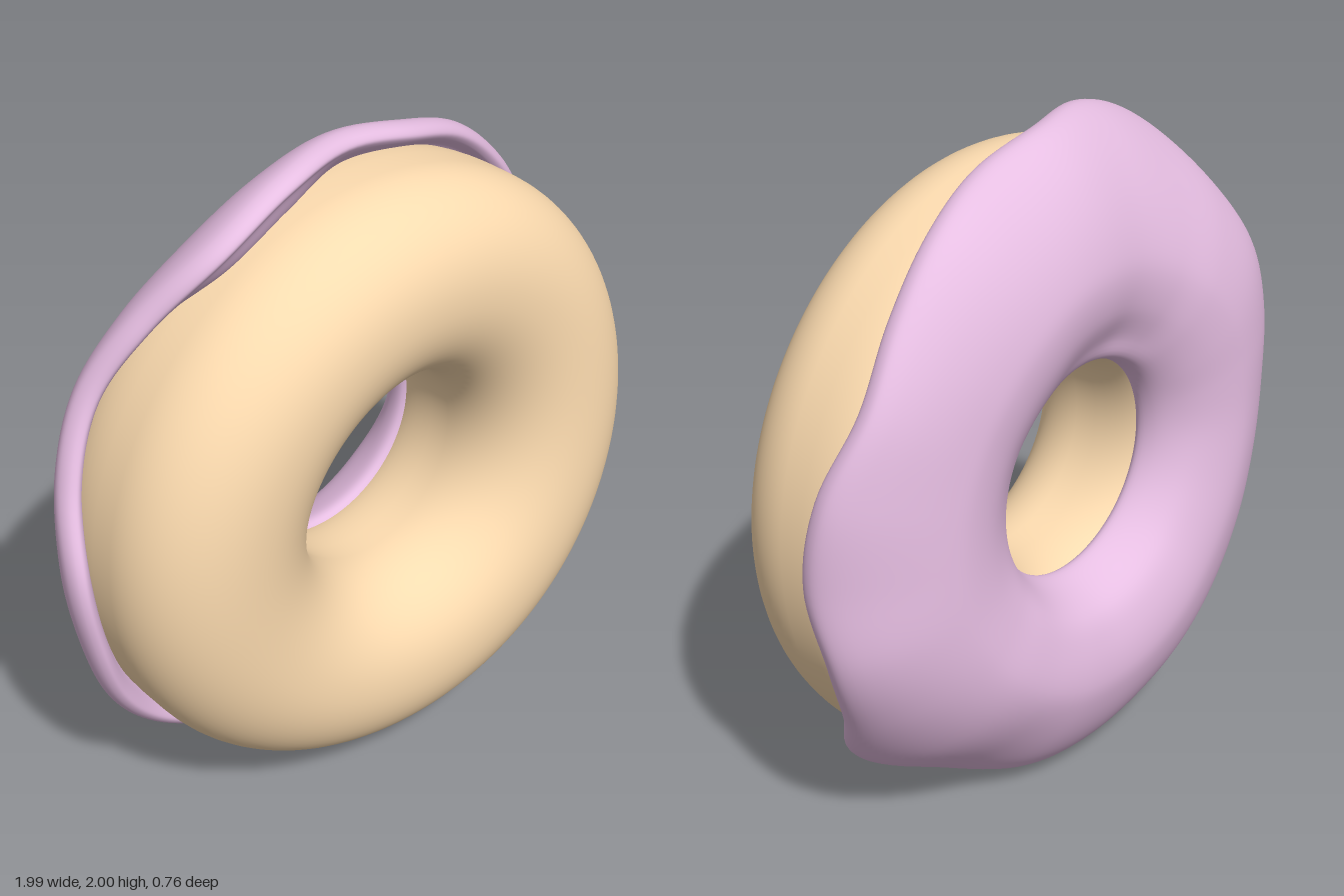
import * as THREE from 'three';

const CENTRE_Y = 0.98;
const TAU = Math.PI * 2;

// Smooth ring surface: section(theta) returns a closed loop of [radius, z] points.
function ringGeometry(section, around) {
  const pos = [], index = [];
  let n = 0;
  for (let i = 0; i < around; i++) {
    const t = (i / around) * TAU;
    const loop = section(t);
    n = loop.length;
    for (const [r, z] of loop) pos.push(r * Math.cos(t), CENTRE_Y + r * Math.sin(t), z);
  }
  for (let i = 0; i < around; i++) {
    for (let j = 0; j < n; j++) {
      const i2 = (i + 1) % around, j2 = (j + 1) % n;
      const a = i * n + j, b = i2 * n + j, c = i2 * n + j2, d = i * n + j2;
      index.push(a, b, d, b, c, d);
    }
  }
  const g = new THREE.BufferGeometry();
  g.setAttribute('position', new THREE.Float32BufferAttribute(pos, 3));
  g.setIndex(index);
  g.computeVertexNormals();
  return g;
}

// Dough: oval section, squarer towards the back, front face gently uneven
function doughSection(t) {
  const loop = [];
  const front = 0.355 + 0.015 * Math.cos(2 * (t + 0.92)) + 0.006 * Math.cos(t + 0.92);
  for (let j = 0; j < 72; j++) {
    const a = (j / 72) * TAU, c = Math.cos(a), s = Math.sin(a);
    const depth = s > 0 ? front - 0.07 : 0.33;
    const e = 2 / (s > 0 ? 2.1 : 3.3);
    loop.push([
      0.627 + 0.305 * Math.sign(c) * Math.abs(c) ** e,
      0.07 + depth * Math.sign(s) * Math.abs(s) ** e,
    ]);
  }
  return loop;
}

// Icing every 15 degrees from +x: [outer radius, z of the dripping lip, z of the back]
const ICING = [
  [0.99, -0.05, -0.335], [0.995, -0.08, -0.33], [0.975, -0.135, -0.33], [0.985, -0.11, -0.335],
  [1.0, -0.07, -0.335], [1.0, -0.02, -0.325], [1.018, -0.01, -0.315], [1.042, 0.06, -0.305],
  [1.035, 0.075, -0.315], [0.99, -0.03, -0.335], [0.965, -0.11, -0.345], [0.97, -0.08, -0.345],
  [0.995, 0.01, -0.345], [0.995, 0.02, -0.35], [1.005, -0.01, -0.355], [1.0, -0.06, -0.36],
  [0.985, -0.09, -0.37], [0.978, -0.09, -0.375], [0.98, -0.09, -0.375], [0.975, -0.07, -0.38],
  [0.99, 0.055, -0.38], [1.018, 0.07, -0.375], [0.985, -0.04, -0.36], [0.985, -0.085, -0.345],
];
const icingCurve = new THREE.CatmullRomCurve3(
  ICING.map((p) => new THREE.Vector3(...p)), true, 'catmullrom', 0.5);

// Icing: wraps from the hole over the back to a rounded, wavy outer lip
function icingSection(t) {
  const { x: R, y: L, z: B } = icingCurve.getPoint(t / TAU);
  const rim = L - 0.055;
  // Rounded shoulder from the back peak out to the lip
  const shoulder = [0, 0.2, 0.4, 0.6, 0.8, 1].map((k) => {
    const u = k * Math.PI / 2;
    return [0.62 + (R - 0.62) * Math.sin(u) ** 1.25, rim + (B - rim) * Math.max(0, Math.cos(u)) ** 1.3];
  });
  const pts = [
    [0.4, -0.17], [0.36, -0.135], [0.335, -0.16], [0.35, -0.22], [0.415, B + 0.06], [0.51, B + 0.016],
    ...shoulder,
    [R - 0.008, L - 0.015], [R - 0.028, L], [R - 0.05, L - 0.012],
    [Math.min(0.92, R - 0.07), L - 0.05], [0.84, Math.min(L - 0.08, -0.1)], [0.65, -0.18],
  ];
  const curve = new THREE.CatmullRomCurve3(
    pts.map(([r, z]) => new THREE.Vector3(r, z, 0)), true, 'centripetal');
  return Array.from({ length: 90 }, (_, j) => {
    const p = curve.getPoint(j / 90);
    return [p.x, p.y];
  });
}

export function createModel() {
  const group = new THREE.Group();
  group.name = 'doughnut';
  const add = (name, section, color) => {
    const mesh = new THREE.Mesh(
      ringGeometry(section, 192), new THREE.MeshStandardMaterial({ color }));
    mesh.name = name;
    group.add(mesh);
  };
  add('dough', doughSection, 0xfddcb0);
  add('icing', icingSection, 0xe6bee2);
  return group;
}
